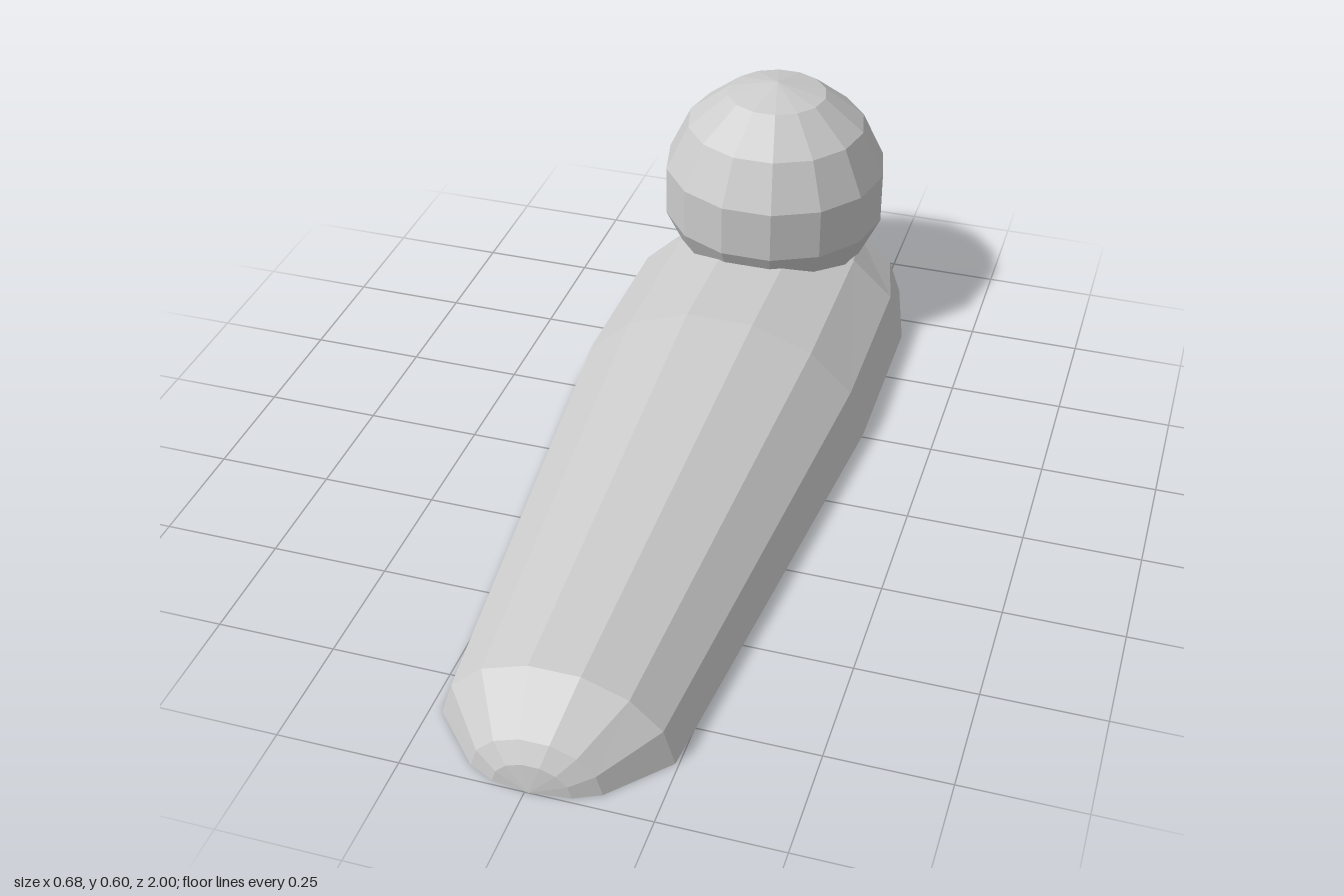
import * as THREE from 'three';

const SIDES = 7; // facets across the arched body

// Joins half-ellipse sections, listed front to back, into a closed faceted hull with a flat base
function loftArches(sections) {
  const positions = [];
  const indices = [];
  const n = SIDES + 1;
  for (const [z, halfWidth, height, x] of sections) {
    for (let j = 0; j < n; j++) {
      const a = (j / SIDES) * Math.PI;
      positions.push(x + halfWidth * Math.cos(a), height * Math.sin(a), z);
    }
  }
  for (let i = 0; i < sections.length - 1; i++) {
    for (let j = 0; j < n; j++) {
      const k = (j + 1) % n;
      const a = i * n + j, b = i * n + k, c = b + n, d = a + n;
      if (sections[i + 1][1] > 0) indices.push(a, d, c);
      if (sections[i][1] > 0) indices.push(a, c, b);
    }
  }
  const geometry = new THREE.BufferGeometry();
  geometry.setAttribute('position', new THREE.Float32BufferAttribute(positions, 3));
  geometry.setIndex(indices);
  const flat = geometry.toNonIndexed();
  flat.computeVertexNormals();
  return flat;
}

export function createModel() {
  const model = new THREE.Group();
  const material = new THREE.MeshStandardMaterial({ color: 0xcccccc, flatShading: true });

  // Long tapering body: z, half width, height, x offset
  const body = new THREE.Mesh(loftArches([
    [1.0, 0, 0, 0.008],
    [0.99, 0.078, 0.059, 0.01],
    [0.965, 0.13, 0.097, 0.01],
    [0.85, 0.234, 0.172, 0.009],
    [-0.26, 0.342, 0.251, 0],
    [-0.68, 0.34, 0.246, 0],
    [-0.88, 0.29, 0.187, 0],
    [-0.915, 0.25, 0.16, 0],
    [-0.932, 0, 0, 0],
  ]), material);
  body.name = 'body';
  model.add(body);

  // Round ball resting in the rear end
  const ball = new THREE.Mesh(new THREE.SphereGeometry(0.269, 14, 7), material);
  ball.name = 'ball';
  ball.position.set(-0.005, 0.334, -0.745);
  model.add(ball);

  return model;
}
